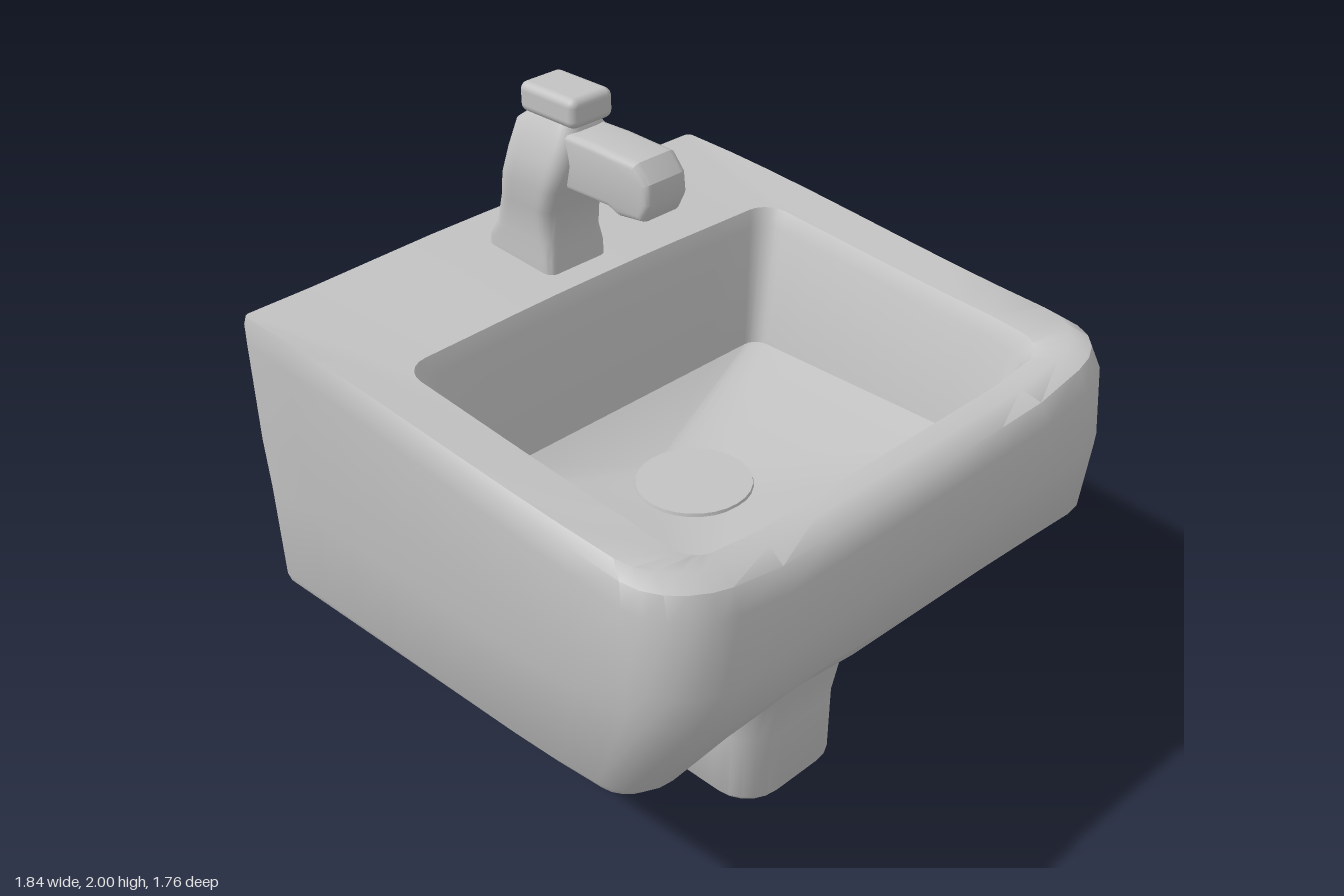
import * as THREE from 'three';
import { toCreasedNormals } from 'three/addons/utils/BufferGeometryUtils.js';
import { RoundedBoxGeometry } from 'three/addons/geometries/RoundedBoxGeometry.js';

const EDGE = 8, CORNER = 5;

// Rounded-rectangle ring in plan: front half width, back z, front z, back and front radii,
// height (number or rule), back half width
function ring(hx, zb, zf, rb, rf, y, hb = hx) {
  const corners = [
    [hx - rf, zf - rf, rf, 0], [-hx + rf, zf - rf, rf, 1],
    [-hb + rb, zb + rb, rb, 2], [hb - rb, zb + rb, rb, 3],
  ];
  const arc = ([cx, cz, r, q], t) => {
    const a = (q + t) * Math.PI / 2;
    return [cx + r * Math.cos(a), cz + r * Math.sin(a)];
  };
  const pts = [];
  corners.forEach((c, i) => {
    for (let k = 0; k <= CORNER; k++) pts.push(arc(c, k / CORNER));
    const a = arc(c, 1), b = arc(corners[(i + 1) % 4], 0);
    for (let k = 1; k < EDGE; k++) {
      const t = k / EDGE;
      pts.push([a[0] + (b[0] - a[0]) * t, a[1] + (b[1] - a[1]) * t]);
    }
  });
  return pts.map(([x, z]) => [x, typeof y === 'function' ? y(x, z) : y, z]);
}

// Skin a stack of rings and close both ends
function loft(rings, crease) {
  const n = rings[0].length, pos = rings.flat(2), idx = [];
  for (let j = 0; j < rings.length - 1; j++) {
    for (let i = 0; i < n; i++) {
      const a = j * n + i, b = j * n + (i + 1) % n;
      idx.push(a, a + n, b, b, a + n, b + n);
    }
  }
  [0, rings.length - 1].forEach((j, end) => {
    const c = pos.length / 3;
    for (let k = 0; k < 3; k++) pos.push(rings[j].reduce((s, p) => s + p[k], 0) / n);
    for (let i = 0; i < n; i++) {
      const a = j * n + i, b = j * n + (i + 1) % n;
      if (end) idx.push(c, b, a); else idx.push(c, a, b);
    }
  });
  const g = new THREE.BufferGeometry();
  g.setAttribute('position', new THREE.Float32BufferAttribute(pos, 3));
  g.setIndex(idx);
  return toCreasedNormals(g, crease);
}

export function createModel() {
  const group = new THREE.Group();
  const ceramic = new THREE.MeshStandardMaterial({ color: 0xc2c2c2 });
  ceramic.name = 'light grey ceramic';
  const add = (name, geometry) => {
    const mesh = new THREE.Mesh(geometry, ceramic);
    mesh.name = name;
    group.add(mesh);
    return mesh;
  };

  // Rim falls towards the front, is crowned at the back and dips in the middle of the front edge
  const smooth = THREE.MathUtils.smoothstep;
  const rim = (x, z) => 1.46 - 0.1 * smooth(z, -0.9, 0.8)
    + 0.015 * (1 - smooth(z, -0.5, 0)) * (1 - smooth(Math.abs(x), 0.1, 0.8))
    - 0.05 * smooth(z, 0.5, 0.72) * (1 - smooth(Math.abs(x), 0.5, 0.85));
  const below = (d) => (x, z) => rim(x, z) - d;

  // Lower front edge lifts a little right of centre, and the slope above it tilts sideways
  const underside = (base, lift) => (x, z) => base
    + smooth(z, 0.2, 0.6) * (lift + 0.04 * Math.exp(-(((x + 0.35) / 0.25) ** 2)));
  const slopeTop = (x, z) => 0.88 - 0.06 * x * smooth(z, 0, 0.8);

  // Basin: underside, sloped lower front, walls, rim, bowl and drain floor
  add('basin', loft([
    ring(0.3, -0.1, 0.47, 0.1, 0.12, 0.475),
    ring(0.84, -0.88, 0.6, 0.02, 0.1, underside(0.53, 0.02), 0.86),
    ring(0.865, -0.88, 0.65, 0.02, 0.14, underside(0.56, 0.03), 0.87),
    ring(0.905, -0.88, 0.865, 0.02, 0.2, slopeTop, 0.88),
    ring(0.92, -0.88, 0.885, 0.02, 0.2, 1.05, 0.89),
    ring(0.915, -0.88, 0.87, 0.02, 0.2, below(0.09), 0.895),
    ring(0.9, -0.88, 0.84, 0.02, 0.19, below(0.025), 0.895),
    ring(0.87, -0.875, 0.78, 0.02, 0.18, rim, 0.89),
    ring(0.73, -0.37, 0.71, 0.08, 0.08, below(0.01)),
    ring(0.7, -0.35, 0.68, 0.07, 0.07, below(0.06)),
    ring(0.62, -0.31, 0.62, 0.05, 0.05, 1.0),
    ring(0.17, -0.15, 0.19, 0.13, 0.13, 0.89),
  ], 0.75));

  // Drain
  const drain = add('drain', new THREE.CylinderGeometry(0.175, 0.18, 0.02, 28));
  drain.position.set(0, 0.89, 0.02);

  // Pedestal flaring into the underside
  add('pedestal', loft([
    ring(0.205, 0.015, 0.45, 0.13, 0.12, 0),
    ring(0.22, 0.0, 0.465, 0.14, 0.13, 0.02),
    ring(0.22, -0.005, 0.47, 0.14, 0.13, 0.25),
    ring(0.225, -0.03, 0.5, 0.14, 0.13, 0.4),
    ring(0.25, -0.06, 0.53, 0.15, 0.14, 0.48),
    ring(0.26, -0.07, 0.53, 0.15, 0.14, 0.52),
  ], 0.7));

  // Tap body leaning forward
  add('tapBody', loft([
    ring(0.115, -0.74, -0.45, 0.03, 0.03, 1.4),
    ring(0.115, -0.735, -0.455, 0.03, 0.03, 1.49),
    ring(0.11, -0.71, -0.46, 0.04, 0.04, 1.54),
    ring(0.115, -0.685, -0.45, 0.05, 0.05, 1.64),
    ring(0.13, -0.665, -0.41, 0.06, 0.05, 1.72),
    ring(0.12, -0.645, -0.39, 0.06, 0.05, 1.8),
    ring(0.09, -0.63, -0.39, 0.05, 0.05, 1.88),
    ring(0.065, -0.58, -0.41, 0.04, 0.04, 1.92),
  ], 0.7));

  // Spout: side outline in (z, y), extruded across the width
  const outline = new THREE.Shape([
    [-0.5, 1.74], [-0.24, 1.745], [-0.2, 1.73], [-0.12, 1.74],
    [-0.1, 1.78], [-0.105, 1.83], [-0.14, 1.87], [-0.3, 1.875], [-0.5, 1.87],
  ].map(([z, y]) => new THREE.Vector2(z, y)));
  const spout = new THREE.ExtrudeGeometry(outline, {
    depth: 0.11, bevelThickness: 0.025, bevelSize: 0.02, bevelSegments: 3,
  });
  spout.translate(0, 0, -0.055).rotateY(-Math.PI / 2);
  add('spout', toCreasedNormals(spout, 0.6));

  // Lever cap on top of the tap
  const lever = add('lever', new RoundedBoxGeometry(0.16, 0.09, 0.23, 3, 0.025));
  lever.position.set(0, 1.955, -0.485);

  return group;
}
